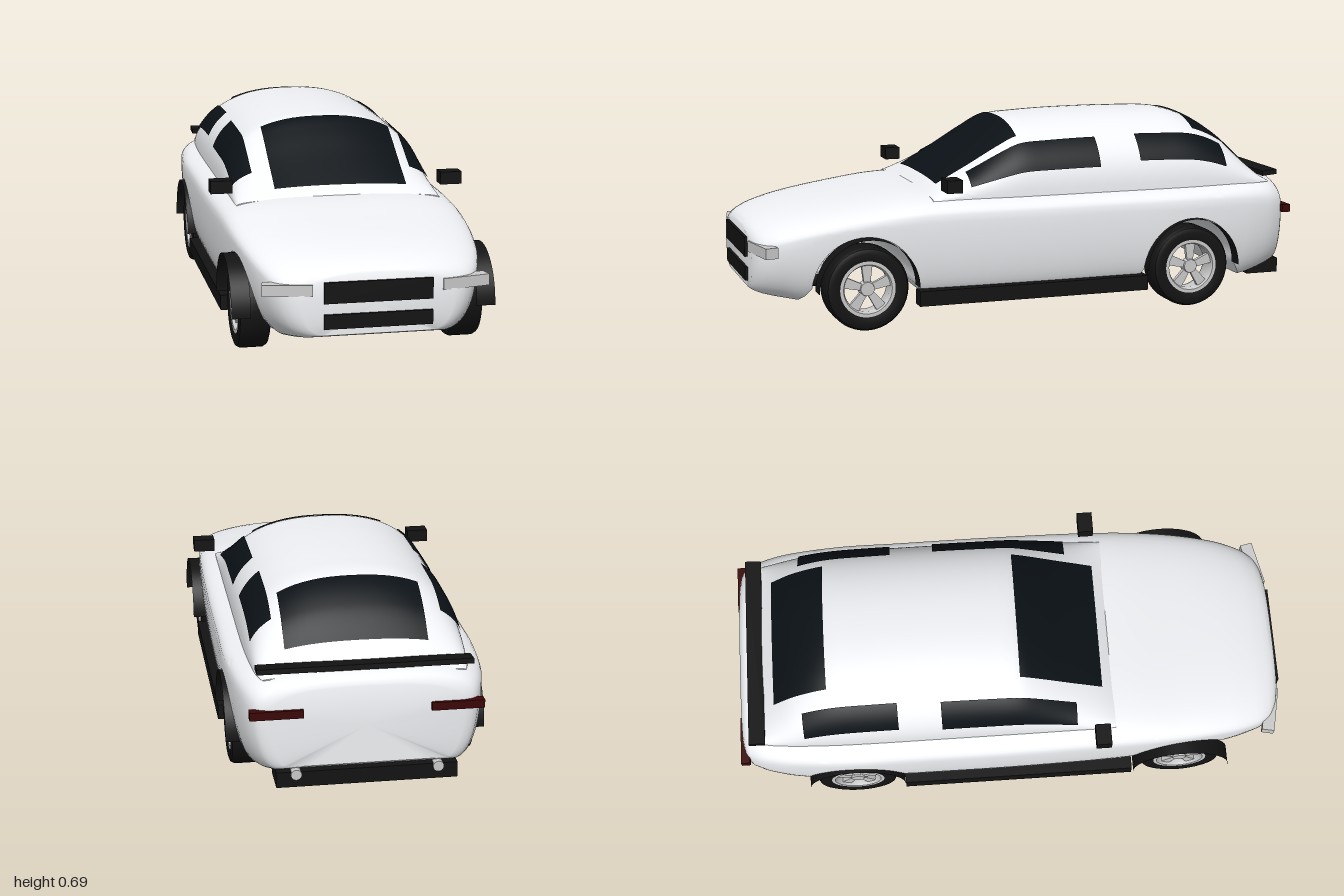
import * as THREE from 'three';
import { toCreasedNormals } from 'three/addons/utils/BufferGeometryUtils.js';

const mat = (color, side = THREE.FrontSide) => new THREE.MeshStandardMaterial({ color, side });
const paint = mat(0xf0f2f5), metal = mat(0xcccccc, THREE.DoubleSide);
const black = mat(0x131313), trim = mat(0x131313, THREE.DoubleSide);
const glass = mat(0x0b1116, THREE.DoubleSide), lamp = mat(0xcccccc), red = mat(0x3c0606);

const ARCHES = [0.62, -0.587], ARCH_R = 0.18, AXLE_Y = 0.147;

// Rows: z, half width, top, bottom, height of widest point, top roundness, floor width ratio
const BODY = [
  [0.99, 0.25, 0.335, 0.132, 0.23, 2.6, 0.7],
  [0.98, 0.285, 0.348, 0.127, 0.26, 2.4, 0.7],
  [0.95, 0.325, 0.365, 0.118, 0.285, 2.3, 0.7],
  [0.9, 0.353, 0.383, 0.108, 0.305, 2.3, 0.71],
  [0.8, 0.382, 0.405, 0.092, 0.33, 2.4, 0.74],
  [0.62, 0.408, 0.43, 0.09, 0.355, 2.7, 0.8],
  [0.4, 0.422, 0.452, 0.11, 0.365, 3.2, 0.87],
  [0, 0.43, 0.447, 0.11, 0.365, 3.6, 0.88],
  [-0.4, 0.43, 0.447, 0.11, 0.365, 3.6, 0.88],
  [-0.6, 0.43, 0.447, 0.09, 0.365, 3.6, 0.86],
  [-0.8, 0.415, 0.455, 0.092, 0.36, 3.3, 0.83],
  [-0.9, 0.395, 0.46, 0.112, 0.35, 3, 0.81],
  [-0.96, 0.37, 0.452, 0.13, 0.335, 2.9, 0.8],
  [-0.978, 0.348, 0.435, 0.138, 0.325, 2.8, 0.8],
  [-0.986, 0.32, 0.415, 0.146, 0.315, 2.8, 0.8],
];

// Rows: z, half width, roof height
const CABIN = [
  [0.37, 0.365, 0.45], [0.33, 0.367, 0.479], [0.2, 0.367, 0.566], [0.1, 0.367, 0.635],
  [0.03, 0.367, 0.675], [-0.06, 0.367, 0.685], [-0.25, 0.367, 0.692], [-0.5, 0.367, 0.69],
  [-0.65, 0.365, 0.676], [-0.77, 0.36, 0.61], [-0.86, 0.352, 0.515], [-0.9, 0.345, 0.47], [-0.93, 0.335, 0.44],
];
const CABIN_BASE = 0.43, CABIN_N = 2.35;

// Smooth cubic reading of a table at z
function sample(table, z) {
  let i = 0;
  while (i < table.length - 2 && z < table[i + 1][0]) i++;
  const slope = (k, c) => {
    const a = table[Math.max(k - 1, 0)], b = table[Math.min(k + 1, table.length - 1)];
    return (b[c] - a[c]) / (b[0] - a[0]);
  };
  const p = table[i], q = table[i + 1], d = q[0] - p[0], t = (z - p[0]) / d, t2 = t * t, t3 = t2 * t;
  return p.map((_, c) => c === 0 ? z : (2 * t3 - 3 * t2 + 1) * p[c] + (t3 - 2 * t2 + t) * d * slope(i, c)
    + (3 * t2 - 2 * t3) * q[c] + (t3 - t2) * d * slope(i + 1, c));
}

// Lofts mirrored half sections (top centre to bottom centre) along z, with flat end caps
function loft(stations, halfSection, crease) {
  const pos = [], idx = [];
  let n = 0;
  for (const z of stations) {
    const half = halfSection(z);
    const ring = [...half, ...half.slice(1, -1).reverse().map(([x, y]) => [-x, y])];
    n = ring.length;
    ring.forEach(([x, y]) => pos.push(x, y, z));
  }
  const last = stations.length - 1;
  for (let i = 0; i < last; i++) for (let j = 0; j < n; j++) {
    const a = i * n + j, b = i * n + (j + 1) % n;
    idx.push(a, b, b + n, a, b + n, a + n);
  }
  for (const [i, front] of [[0, true], [last, false]]) {
    const c = pos.length / 3, top = pos[i * n * 3 + 1], bottom = pos[(i * n + n / 2) * 3 + 1];
    pos.push(0, (top + bottom) / 2, stations[i]);
    for (let j = 0; j < n; j++) {
      const a = i * n + j, b = i * n + (j + 1) % n;
      idx.push(c, front ? b : a, front ? a : b);
    }
  }
  const g = new THREE.BufferGeometry();
  g.setAttribute('position', new THREE.Float32BufferAttribute(pos, 3));
  g.setIndex(idx);
  return toCreasedNormals(g, crease);
}

// Underside height where the wheel arches cut through the body
function archHeight(z) {
  let y = 0;
  for (const c of ARCHES) {
    const d = Math.abs(z - c);
    if (d <= ARCH_R) y = AXLE_Y + Math.sqrt(ARCH_R ** 2 - d * d);
    else if (d < ARCH_R + 0.1) y = AXLE_Y * (1 - (d - ARCH_R) / 0.1);
  }
  return y;
}

function bodySection(z) {
  const [, w, top, bottom, mid, n, floor] = sample(BODY, z), pts = [];
  for (let i = 0; i <= 14; i++) {
    const a = (1 - i / 14) * Math.PI / 2;
    pts.push([i ? w * Math.cos(a) ** (2 / n) : 0, mid + (top - mid) * Math.sin(a) ** (2 / n)]);
  }
  const low = Math.max(bottom, archHeight(z));
  let x = w;
  for (let i = 1; i <= 12; i++) {
    const y = mid + (low - mid) * Math.sin(i / 12 * Math.PI / 2);
    const u = Math.min(1, (mid - y) / (mid - bottom));
    x = w * (floor + (1 - floor) * Math.sqrt(1 - u * u));
    pts.push([x, y]);
  }
  for (let i = 1; i <= 4; i++) pts.push([x * (1 - i / 4), low]);
  return pts;
}

function cabinSection(z) {
  const [, w, h] = sample(CABIN, z), pts = [];
  for (let i = 0; i <= 24; i++) {
    const a = (1 - i / 24) * Math.PI / 2;
    pts.push([i ? w * Math.cos(a) ** (2 / CABIN_N) : 0, CABIN_BASE + (h - CABIN_BASE) * Math.sin(a) ** (2 / CABIN_N)]);
  }
  pts.push([0, CABIN_BASE]);
  return pts;
}

// Pane that hugs the cabin over a rectangle seen from above
function pane(x0, x1, z0, z1) {
  const g = new THREE.PlaneGeometry(x1 - x0, z1 - z0, 16, 20).rotateX(-Math.PI / 2);
  g.translate((x0 + x1) / 2, 0, (z0 + z1) / 2);
  const p = g.attributes.position;
  for (let i = 0; i < p.count; i++) {
    const x = p.getX(i), [, w, h] = sample(CABIN, p.getZ(i));
    const s = (1 - Math.min(1, Math.abs(x) / w) ** CABIN_N) ** (1 / CABIN_N);
    p.setXYZ(i, x * 1.012, CABIN_BASE + (h - CABIN_BASE) * s + 0.004, p.getZ(i));
  }
  g.computeVertexNormals();
  return g;
}

const lathe = (pts) => toCreasedNormals(
  new THREE.LatheGeometry(pts.map(([r, y]) => new THREE.Vector2(r, y)), 40).rotateZ(-Math.PI / 2), 0.6);

export function createModel() {
  const car = new THREE.Group();
  car.name = 'car';
  const add = (name, geometry, material, x = 0, y = 0, z = 0, parent = car) => {
    const m = new THREE.Mesh(geometry, material);
    m.name = name;
    m.position.set(x, y, z);
    parent.add(m);
    return m;
  };
  // Box given by its limits on each axis
  const block = (name, material, x0, x1, y0, y1, z0, z1) => add(name, new THREE.BoxGeometry(x1 - x0, y1 - y0, z1 - z0),
    material, (x0 + x1) / 2, (y0 + y1) / 2, (z0 + z1) / 2);

  // Body, with extra stations around the arches and at both ends
  const stations = BODY.map((r) => r[0]);
  for (let z = 0.96; z > -0.96; z -= 0.04) stations.push(z);
  for (const c of ARCHES) {
    for (let i = 0; i <= 28; i++) stations.push(c + ARCH_R * Math.cos(i / 28 * Math.PI));
    for (const d of [0.02, 0.037]) stations.push(c + ARCH_R + d, c - ARCH_R - d);
  }
  stations.push(0.986, 0.97, -0.97, -0.983);
  stations.sort((a, b) => b - a);
  add('body', loft(stations.filter((z, i) => !i || stations[i - 1] - z > 1e-4), bodySection, 0.7), paint);

  // Cabin and windows
  const cabinZ = Array.from({ length: 66 }, (_, i) => 0.37 - 0.02 * i);
  add('cabin', loft(cabinZ, cabinSection, 0.8), paint);
  add('windshield', pane(-0.22, 0.25, 0.03, 0.33), glass);
  add('rearWindow', pane(-0.22, 0.25, -0.855, -0.655), glass);

  // Front and rear details
  block('upperGrille', black, -0.18, 0.18, 0.24, 0.31, 0.95, 1);
  block('lowerGrille', black, -0.18, 0.18, 0.155, 0.203, 0.95, 1);
  block('rearBumper', black, -0.3, 0.3, 0.077, 0.13, -0.992, -0.868);
  block('spoiler', black, -0.355, 0.355, 0.457, 0.475, -0.953, -0.895).rotation.x = 0.08;

  // Wheel geometry
  const tyre = lathe([[0.098, -0.05], [0.125, -0.055], [0.14, -0.05], [0.147, -0.038], [0.147, 0.038],
    [0.14, 0.05], [0.125, 0.055], [0.098, 0.05], [0.095, 0], [0.098, -0.05]]);
  const rim = lathe([[0.09, -0.045], [0.1, -0.045], [0.1, 0.05], [0.086, 0.05], [0.08, 0.035], [0.085, -0.03], [0.09, -0.045]]);
  const hub = new THREE.CylinderGeometry(0.024, 0.03, 0.024, 20).rotateZ(-Math.PI / 2);
  const wedge = new THREE.Shape([[-0.011, 0.018], [0.011, 0.018], [0.02, 0.09], [-0.02, 0.09]].map((p) => new THREE.Vector2(...p)));
  const spoke = new THREE.ExtrudeGeometry(wedge, { depth: 0.016, bevelEnabled: false }).rotateY(Math.PI / 2);

  for (const s of [1, -1]) {
    const side = s > 0 ? 'left' : 'right';
    const span = (a, b) => s > 0 ? [a, b] : [-b, -a];
    add(side + 'FrontWindow', pane(...span(0.285, 0.355), -0.255, 0.23), glass);
    add(side + 'RearWindow', pane(...span(0.28, 0.35), -0.75, -0.41), glass);
    block(side + 'Mirror', black, ...span(0.375, 0.452), 0.47, 0.515, 0.29, 0.345);
    block(side + 'Sill', black, ...span(0.38, 0.435), 0.077, 0.13, -0.41, 0.44);
    block(side + 'TailLight', red, ...span(0.21, 0.385), 0.32, 0.348, -0.997, -0.965);
    add(side + 'Headlight', new THREE.BoxGeometry(0.165, 0.038, 0.045), lamp, s * 0.292, 0.284, 0.957).rotation.y = s * 0.2;
    add(side + 'Exhaust', new THREE.CylinderGeometry(0.018, 0.018, 0.06, 20).rotateX(Math.PI / 2), metal, s * 0.235, 0.122, -0.97);

    ARCHES.forEach((z, i) => {
      const end = i ? 'Rear' : 'Front', outer = i ? 0.442 : 0.45, inner = 0.385, r = ARCH_R - 0.003;
      // Half-round arch flare
      const flare = new THREE.CylinderGeometry(r, r, outer - inner, 36, 1, true, 0, Math.PI).rotateZ(Math.PI / 2);
      add(side + end + 'Flare', flare, trim, s * (outer + inner) / 2, AXLE_Y, z);

      const wheel = new THREE.Group();
      wheel.name = side + end + 'Wheel';
      wheel.position.set(s * 0.365, AXLE_Y, z);
      if (s < 0) wheel.rotation.y = Math.PI;
      add('tyre', tyre, black, 0, 0, 0, wheel);
      add('rim', rim, metal, 0, 0, 0, wheel);
      add('hub', hub, metal, 0.034, 0, 0, wheel);
      for (let k = 0; k < 5; k++) add('spoke', spoke, metal, 0.024, 0, 0, wheel).rotation.x = k * Math.PI * 0.4;
      car.add(wheel);
    });
  }
  return car;
}
